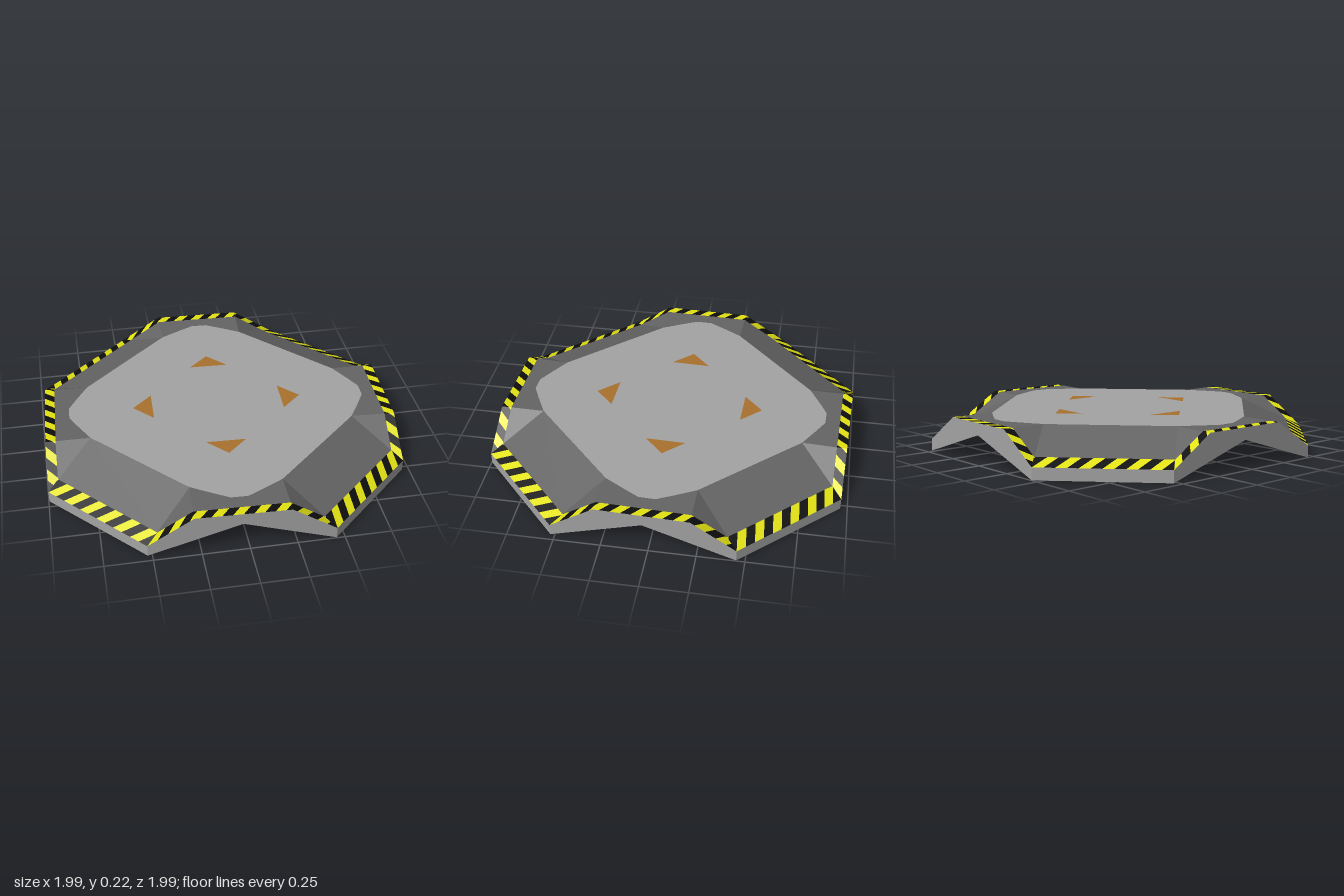
import * as THREE from 'three';

const side = THREE.DoubleSide;
const mats = {
  grey: new THREE.MeshStandardMaterial({ name: 'light grey', color: 0xa3a3a3, side }),
  dark: new THREE.MeshStandardMaterial({ name: 'dark grey', color: 0x646464, side }),
  yellow: new THREE.MeshStandardMaterial({ name: 'hazard yellow', color: 0xe2e212, side }),
  black: new THREE.MeshStandardMaterial({ name: 'hazard black', color: 0x0e0e0e, side }),
  orange: new THREE.MeshStandardMaterial({ name: 'arrow orange', color: 0xa8712e, side }),
};

const TOP = 0.22, LIP = 0.065, NOTCH = 0.155; // heights

// Cut a convex 3D polygon by the plan line a-b; returns the left and right pieces
function split(poly, a, b) {
  const dist = (p) => (b[0] - a[0]) * (p[2] - a[1]) - (b[1] - a[1]) * (p[0] - a[0]);
  const left = [], right = [];
  poly.forEach((p, i) => {
    const q = poly[(i + 1) % poly.length];
    const dp = dist(p), dq = dist(q), eps = 1e-7;
    if (dp >= -eps) left.push(p);
    if (dp <= eps) right.push(p);
    if ((dp > eps && dq < -eps) || (dp < -eps && dq > eps)) {
      const m = p.map((v, k) => v + (q[k] - v) * dp / (dp - dq));
      left.push(m);
      right.push(m);
    }
  });
  return [left, right];
}

const area = (r) => r.reduce((s, p, i) => {
  const q = r[(i + 1) % r.length];
  return s + p[0] * q[1] - q[0] * p[1];
}, 0);
const solid = (p) => p.length > 2 && Math.abs(area(p.map((v) => [v[0], v[2]]))) > 1e-7;

// Separate a list of polygons into the parts inside and outside a convex plan region
function carve(polys, region) {
  const r = area(region) < 0 ? [...region].reverse() : region;
  const inside = [], outside = [];
  for (let rest of polys) {
    for (let i = 0; i < r.length && solid(rest); i++) {
      const [l, o] = split(rest, r[i], r[(i + 1) % r.length]);
      if (solid(o)) outside.push(o);
      rest = l;
    }
    if (solid(rest)) inside.push(rest);
  }
  return { inside, outside };
}

// Flat-shaded mesh from convex polygons
function mesh(name, mat, polys) {
  const pos = [];
  for (const p of polys)
    for (let i = 1; i < p.length - 1; i++) pos.push(...p[0], ...p[i], ...p[i + 1]);
  const g = new THREE.BufferGeometry();
  g.setAttribute('position', new THREE.Float32BufferAttribute(pos, 3));
  g.computeVertexNormals();
  const m = new THREE.Mesh(g, mat);
  m.name = name;
  return m;
}

// Turn polygons so they face up
const up = (p) => (area(p.map((v) => [v[0], v[2]])) > 0 ? [...p].reverse() : p);

// Slanted black bars along a border strip; a to b runs rightward seen from outside
function bars(a, b, width) {
  const len = Math.hypot(b[0] - a[0], b[1] - a[1]);
  const t = [(b[0] - a[0]) / len, (b[1] - a[1]) / len], n = [t[1], -t[0]];
  const at = (s, h) => [a[0] + t[0] * s + n[0] * h, a[1] + t[1] * s + n[1] * h];
  const count = Math.round(len / 0.115), step = len / count, lean = width * 0.8;
  return Array.from({ length: count + 1 }, (_, i) => {
    const s = (i - 0.5) * step;
    return [at(s, 0), at(s + step / 2, 0), at(s + step / 2 + lean, width), at(s + lean, width)];
  });
}

// One quarter of the hub: front opening plus the ramp to its left
function quarter() {
  const g = new THREE.Group();
  const flat = [
    [[0, TOP, 0], [-0.245, TOP, 0.735], [0.245, TOP, 0.735], [0.735, TOP, 0.245]],
    [[-0.245, TOP, 0.735], [-0.25, TOP, 0.98], [0.25, TOP, 0.98], [0.245, TOP, 0.735]],
  ];
  const slopes = [
    [[0.245, TOP, 0.735], [0.49, LIP, 0.98], [0.98, LIP, 0.49], [0.735, TOP, 0.245]],
    ...[-1, 1].map((s) => [[s * 0.245, TOP, 0.735], [s * 0.25, TOP, 0.98], [s * 0.49, LIP, 0.98]]),
  ];

  // light deck with rounded end, and its direction arrow
  const end = [[0.245, 0.735], [0.13, 0.8], [0.045, 0.845], [-0.045, 0.845], [-0.13, 0.8], [-0.245, 0.735]];
  const deck = carve([flat[1]], end);
  const arrow = carve([flat[0]], [[-0.11, 0.372], [0.11, 0.372], [0, 0.482]]);
  g.add(mesh('deck', mats.grey, [...deck.inside, ...arrow.outside].map(up)));
  g.add(mesh('arrow', mats.orange, arrow.inside.map(up)));

  // hazard border, mitred at the corners
  let dark = [...deck.outside, ...slopes];
  const yellow = [], black = [];
  const strips = [
    { a: [-0.49, 0.98], b: [0.49, 0.98], c: [0.432, 0.925], d: [-0.432, 0.925], w: 0.055 },
    { a: [0.49, 0.98], b: [0.98, 0.49], c: [0.925, 0.432], d: [0.432, 0.925], w: 0.08 },
  ];
  for (const { a, b, c, d, w } of strips) {
    const cut = carve(dark, [a, b, c, d]);
    dark = cut.outside;
    let rest = cut.inside;
    for (const bar of bars(a, b, w)) {
      const painted = carve(rest, bar);
      black.push(...painted.inside);
      rest = painted.outside;
    }
    yellow.push(...rest);
  }
  g.add(mesh('ramp', mats.dark, dark.map(up)));
  g.add(mesh('borderYellow', mats.yellow, yellow.map(up)));
  g.add(mesh('borderBlack', mats.black, black.map(up)));

  // arched front wall and low ramp lip
  const z = 0.98;
  g.add(mesh('archWall', mats.grey, [
    [[0, NOTCH, z], [0.49, 0, z], [0.49, LIP, z], [0.25, TOP, z]],
    [[0, NOTCH, z], [0.25, TOP, z], [-0.25, TOP, z]],
    [[0, NOTCH, z], [-0.25, TOP, z], [-0.49, LIP, z], [-0.49, 0, z]],
  ]));
  g.add(mesh('rampLip', mats.grey, [
    [[0.49, 0, 0.98], [0.98, 0, 0.49], [0.98, LIP, 0.49], [0.49, LIP, 0.98]],
  ]));
  return g;
}

export function createModel() {
  const model = new THREE.Group();
  model.name = 'rampHub';
  for (let i = 0; i < 4; i++) {
    const q = quarter();
    q.name = 'quarter' + (i + 1);
    q.rotation.y = i * Math.PI / 2 - 0.035; // whole hub sits slightly turned
    model.add(q);
  }
  return model;
}
